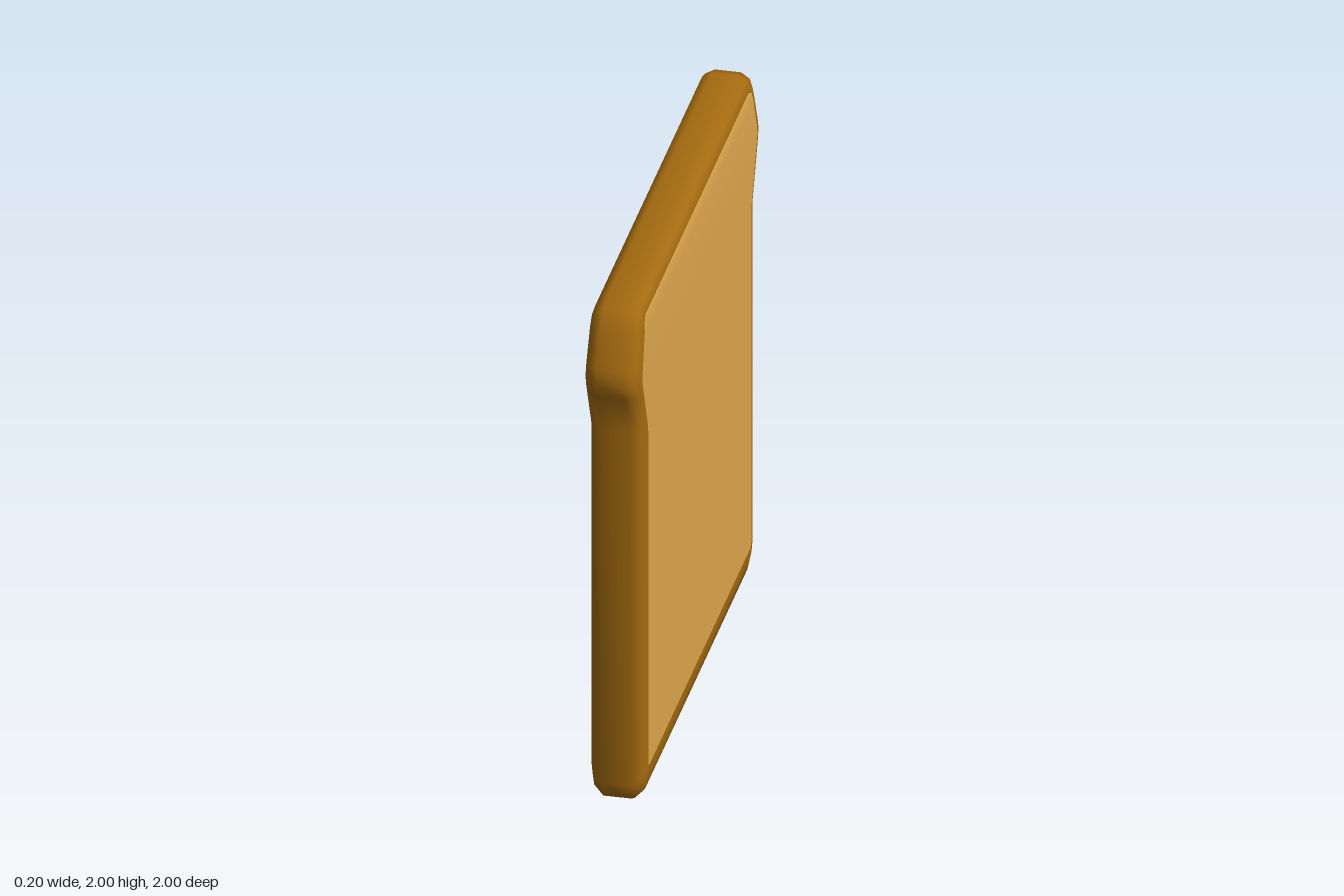
import * as THREE from 'three';

// Half outline from bottom to top: crust z, crust y, crumb z, crumb y, half thickness
const OUTLINE = [
  [0.82, 0, 0.8, 0.13, 0.1],
  [0.87, 0.025, 0.812, 0.135, 0.1],
  [0.9, 0.09, 0.818, 0.15, 0.1],
  [0.9, 1.5, 0.82, 1.49, 0.1],
  [0.985, 1.68, 0.905, 1.7, 0.1],
  [1.0, 1.74, 0.915, 1.735, 0.1],
  [0.985, 1.79, 0.905, 1.77, 0.1],
  [0.93, 1.92, 0.862, 1.89, 0.097],
  [0.89, 1.98, 0.85, 1.925, 0.094],
  [0.83, 2.0, 0.82, 1.94, 0.09],
];

// Crust rings: share of the way from rim to crumb, share of the half thickness
const RINGS = [[1, -1], [0.7, -0.98], [0.28, -0.86], [0, -0.5],
  [0, 0.5], [0.28, 0.86], [0.7, 0.98], [1, 1]];

function makeGeometry(positions, index) {
  const geometry = new THREE.BufferGeometry();
  geometry.setAttribute('position', new THREE.Float32BufferAttribute(positions, 3));
  geometry.setIndex(index);
  geometry.computeVertexNormals();
  return geometry;
}

// Rounded band lofted around the slice
function crustGeometry() {
  const mirrored = OUTLINE.map(([z, y, iz, iy, d]) => [-z, y, -iz, iy, d]).reverse();
  const loop = [...OUTLINE, ...mirrored];
  const n = loop.length;
  const positions = [], index = [];
  RINGS.forEach(([t, s], k) => {
    loop.forEach(([z, y, iz, iy, d], i) => {
      positions.push(s * d, THREE.MathUtils.lerp(y, iy, t), THREE.MathUtils.lerp(z, iz, t));
      if (k === RINGS.length - 1) return;
      const a = k * n + i, b = k * n + (i + 1) % n;
      index.push(a, a + n, b, a + n, b + n, b);
    });
  });
  return makeGeometry(positions, index);
}

// Pale face, built in rows from bottom to top
function crumbGeometry(side) {
  const positions = [], index = [];
  OUTLINE.forEach(([, , z, y, d], j) => {
    positions.push(side * d, y, z, side * d, y, -z);
    if (j === OUTLINE.length - 1) return;
    const a = j * 2;
    if (side > 0) index.push(a, a + 1, a + 2, a + 1, a + 3, a + 2);
    else index.push(a, a + 2, a + 1, a + 1, a + 2, a + 3);
  });
  return makeGeometry(positions, index);
}

export function createModel() {
  const crustBrown = new THREE.MeshStandardMaterial({ color: 0xa56b10 });
  crustBrown.name = 'crustBrown';
  const crumbTan = new THREE.MeshStandardMaterial({ color: 0xdda64d });
  crumbTan.name = 'crumbTan';

  const group = new THREE.Group();
  group.name = 'breadSlice';
  const add = (name, geometry, material) => {
    const mesh = new THREE.Mesh(geometry, material);
    mesh.name = name;
    group.add(mesh);
  };
  add('crust', crustGeometry(), crustBrown);
  add('leftCrumb', crumbGeometry(1), crumbTan);
  add('rightCrumb', crumbGeometry(-1), crumbTan);
  return group;
}
